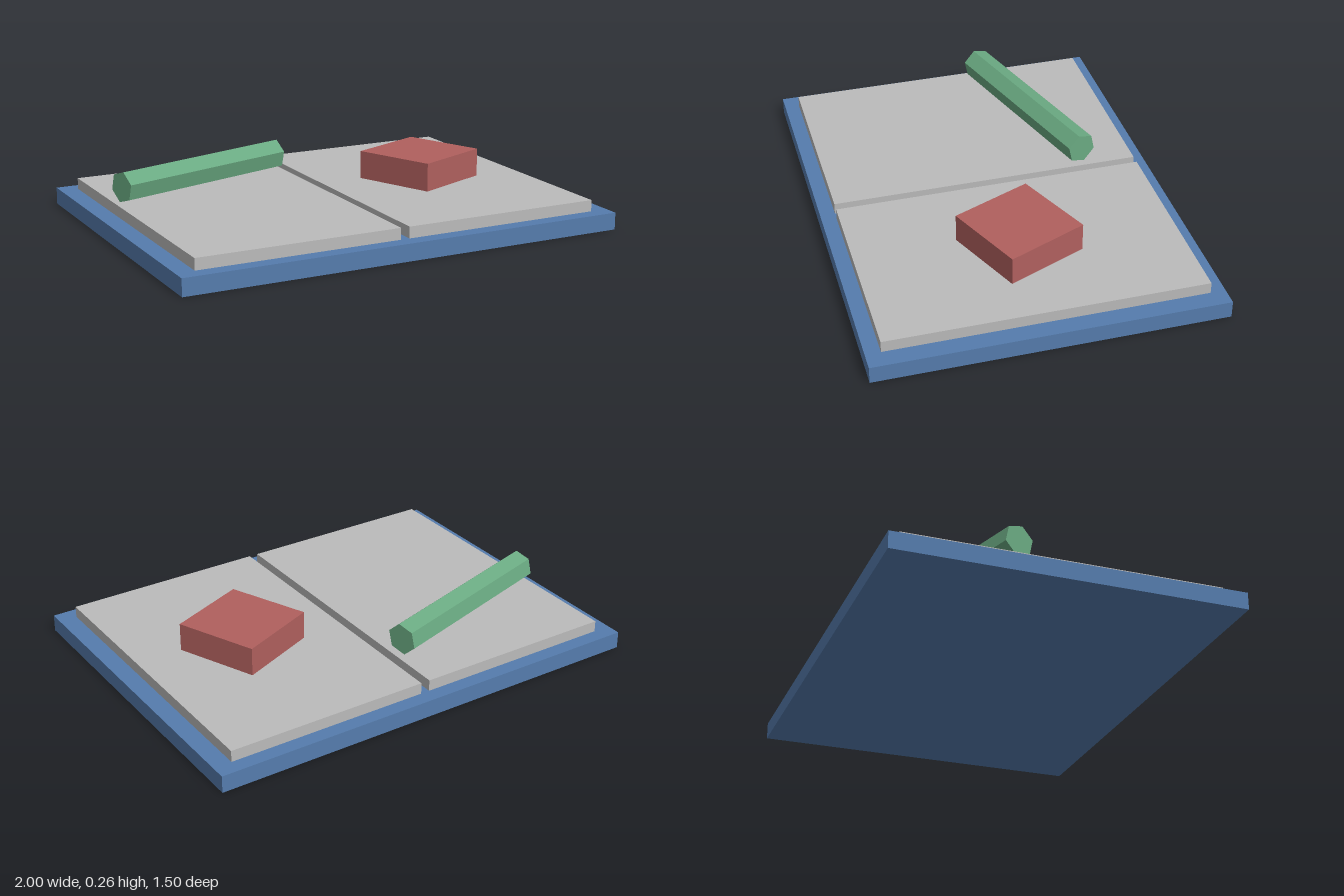
import * as THREE from 'three';

const material = (name, color) => {
  const m = new THREE.MeshStandardMaterial({ color, flatShading: true });
  m.name = name;
  return m;
};

export function createModel() {
  const blue = material('cover blue', 0x557cad);
  const grey = material('page grey', 0xbbbbbb);
  const red = material('block red', 0xb0605e);
  const green = material('rod green', 0x6aaa82);

  const model = new THREE.Group();
  model.name = 'openBook';
  const add = (name, geometry, mat, x, y, z, turn = 0) => {
    const mesh = new THREE.Mesh(geometry, mat);
    mesh.name = name;
    mesh.position.set(x, y, z);
    mesh.rotation.y = turn;
    model.add(mesh);
  };

  // Flat cover with two page blocks, parted by a narrow gap
  add('cover', new THREE.BoxGeometry(2, 0.075, 1.5), blue, 0, 0.0375, 0);
  for (const [name, side] of [['leftPages', 1], ['rightPages', -1]]) {
    add(name, new THREE.BoxGeometry(0.9, 0.05, 1.37), grey, side * 0.47, 0.1, 0);
  }

  // Square block lying askew on the left pages
  add('block', new THREE.BoxGeometry(0.375, 0.125, 0.375), red, 0.465, 0.1875, -0.005, 0.4);

  // Six-sided rod lying across the right pages, rolled slightly about its axis
  const rod = new THREE.CylinderGeometry(0.07, 0.07, 0.88, 6);
  rod.rotateY(0.3).rotateZ(Math.PI / 2);
  add('rod', rod, green, -0.47, 0.195, -0.316, 0.3);

  return model;
}
